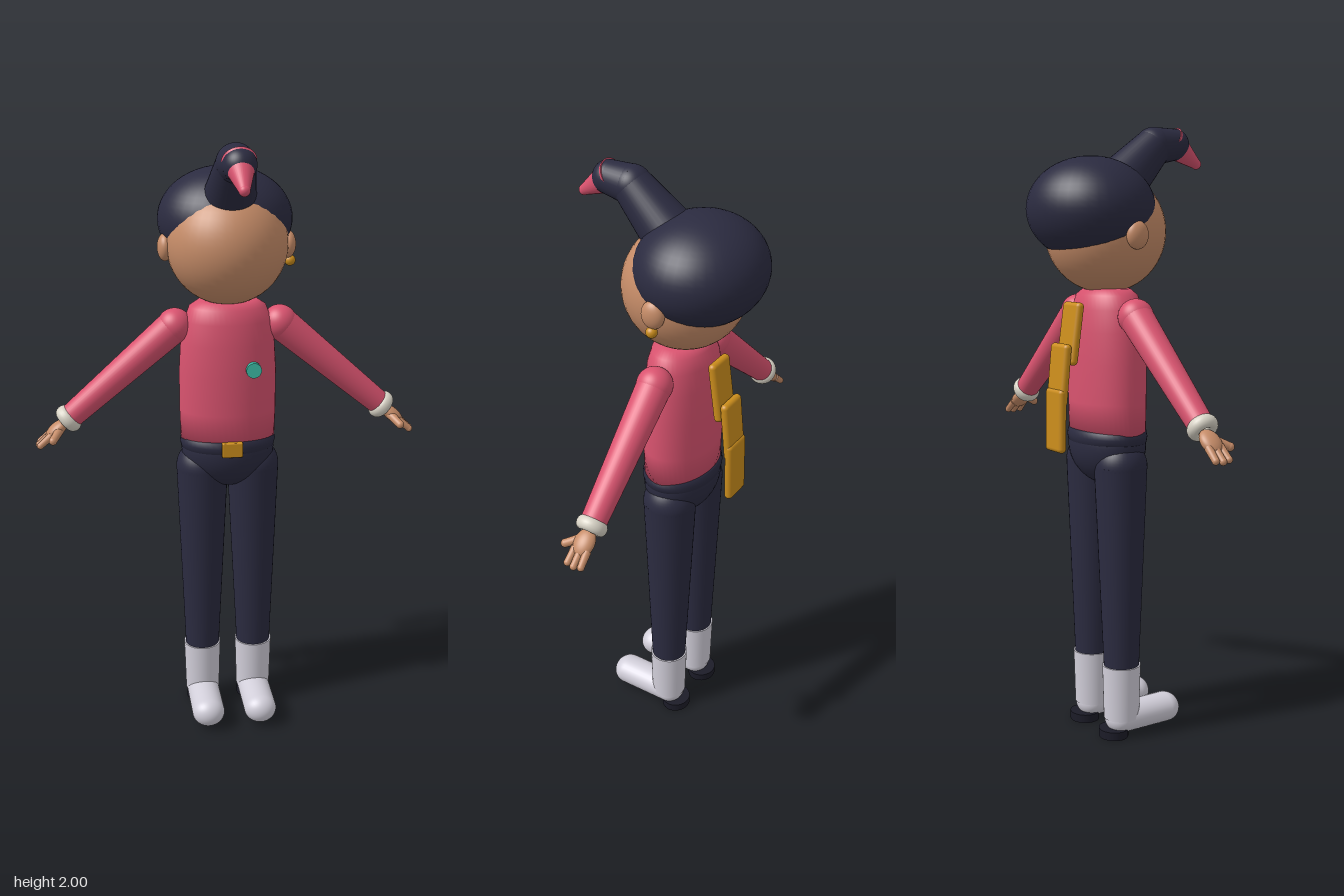
import * as THREE from 'three';
import { RoundedBoxGeometry } from 'three/addons/geometries/RoundedBoxGeometry.js';

const mat = (name, color) => {
  const m = new THREE.MeshStandardMaterial({ color });
  m.name = name;
  return m;
};
const V = (x, y, z) => new THREE.Vector3(x, y, z);

export function createModel() {
  const navy = mat('navy', 0x2b2b40);
  const black = mat('sole black', 0x1b1b27);
  const pink = mat('pink', 0xd9536f);
  const skin = mat('skin', 0xc68c68);
  const gold = mat('gold', 0xcb8d1c);
  const white = mat('boot white', 0xd2cfda);
  const cream = mat('cuff cream', 0xd8d3c6);
  const teal = mat('teal', 0x3fbfa8);

  const model = new THREE.Group();
  model.name = 'character';

  const add = (name, geometry, material, pos, parent = model) => {
    const mesh = new THREE.Mesh(geometry, material);
    mesh.name = name;
    if (pos) mesh.position.copy(pos);
    parent.add(mesh);
    return mesh;
  };
  // Ellipsoid with radii rx, ry, rz
  const ball = (name, material, pos, rx, ry = rx, rz = rx, parent = model) => {
    const mesh = add(name, new THREE.SphereGeometry(1, 40, 28), material, pos, parent);
    mesh.scale.set(rx, ry, rz);
    return mesh;
  };
  // Tapered cylinder from a to b
  const taper = (name, material, a, b, ra, rb, parent = model) => {
    const d = b.clone().sub(a);
    const mesh = add(name, new THREE.CylinderGeometry(rb, ra, d.length(), 36), material,
      a.clone().add(b).multiplyScalar(0.5), parent);
    mesh.quaternion.setFromUnitVectors(V(0, 1, 0), d.normalize());
    return mesh;
  };
  // Turned profile, flattened front to back
  const turned = (name, material, profile, pos, depth) => {
    const geo = new THREE.LatheGeometry(profile.map(([r, y]) => new THREE.Vector2(r, y)), 48);
    const mesh = add(name, geo, material, pos);
    mesh.scale.z = depth;
    return mesh;
  };

  // Head and hair
  ball('head', skin, V(0, 1.665, -0.06), 0.195);
  ball('hairCap', navy, V(0, 1.735, -0.115), 0.217, 0.166, 0.202);

  // Curled quiff with a coloured tip
  const quiff = [[1.8, -0.02, 0.088], [1.938, 0.127, 0.061], [1.945, 0.207, 0.0515]];
  quiff.forEach(([y, z, r], i) => {
    ball('quiffJoint', navy, V(0, y, z), r);
    if (i > 0) {
      const [py, pz, pr] = quiff[i - 1];
      taper('quiffSegment', navy, V(0, py, pz), V(0, y, z), pr, r);
    }
  });
  taper('quiffTip', pink, V(0, 1.954, 0.192), V(0, 1.885, 0.3), 0.053, 0.017);
  ball('quiffTipEnd', pink, V(0, 1.885, 0.3), 0.0172);

  // Torso, belt and badge
  turned('torso', pink, [[0, 1.01], [0.157, 1.01], [0.16, 1.12], [0.16, 1.25], [0.154, 1.35],
    [0.142, 1.42], [0.125, 1.465], [0.095, 1.485], [0, 1.49]], V(0, 0, -0.055), 0.7);
  turned('belt', navy, [[0, 0.982], [0.145, 0.982], [0.156, 0.99], [0.16, 1.008], [0.156, 1.026],
    [0.145, 1.034], [0, 1.034]], V(0, 0, -0.055), 0.74);
  add('buckle', new RoundedBoxGeometry(0.068, 0.05, 0.02, 2, 0.004), gold, V(0, 1.008, 0.062));
  const badge = add('badge', new THREE.CylinderGeometry(0.025, 0.025, 0.02, 24), teal, V(0.07, 1.275, 0.054));
  badge.rotation.x = Math.PI / 2;

  // Hanging back strap in three overlapping panels
  [[1.345, -0.193, 0.2, 0.14], [1.215, -0.236, 0.2, 0.1], [1.07, -0.249, 0.205, 0.02]].forEach(([y, z, h, tilt]) => {
    const panel = add('backStrapPanel', new RoundedBoxGeometry(0.1, h, 0.028, 4, 0.0138), gold, V(0, y, z));
    panel.rotation.x = tilt;
  });

  // Hips
  ball('hips', navy, V(0, 0.98, -0.055), 0.155, 0.135, 0.115);

  for (const s of [1, -1]) {
    const side = s > 0 ? 'left' : 'right';

    // Ear
    ball(side + 'Ear', skin, V(s * 0.198, 1.655, -0.07), 0.025, 0.044, 0.038);

    // Arm
    const arm = new THREE.Group();
    arm.name = side + 'Arm';
    model.add(arm);
    const shoulder = V(s * 0.172, 1.402, -0.058), wrist = V(s * 0.525, 1.1, -0.062);
    const dir = wrist.clone().sub(shoulder).normalize();
    ball('shoulder', pink, shoulder, 0.057, 0.057, 0.057, arm);
    taper('sleeve', pink, shoulder, wrist, 0.055, 0.04, arm);
    const cuff = add('cuff', new THREE.TorusGeometry(0.031, 0.018, 16, 36), cream, wrist, arm);
    cuff.quaternion.setFromUnitVectors(V(0, 0, 1), dir);
    cuff.scale.z = 1.25;

    // Hand
    const palm = ball('palm', skin, V(s * 0.566, 1.063, -0.062), 0.046, 0.022, 0.034, arm);
    palm.rotation.z = -s * 0.71;
    for (const f of [-1, 0, 1]) {
      const base = V(s * 0.582, 1.05, -0.062 + f * 0.021);
      const end = V(s * (0.625 - Math.abs(f) * 0.004), 1.014 + Math.abs(f) * 0.003, -0.062 + f * 0.024);
      taper('finger', skin, base, end, 0.013, 0.011, arm);
      ball('fingertip', skin, end, 0.0115, 0.0115, 0.0115, arm);
    }
    const thumbEnd = V(s * 0.579, 1.045, -0.001);
    taper('thumb', skin, V(s * 0.556, 1.066, -0.045), thumbEnd, 0.015, 0.013, arm);
    ball('thumbTip', skin, thumbEnd, 0.0135, 0.0135, 0.0135, arm);

    // Leg
    const leg = new THREE.Group();
    leg.name = side + 'Leg';
    model.add(leg);
    const hip = V(s * 0.086, 0.915, -0.058), ankle = V(s * 0.091, 0.2, -0.058);
    ball('thighTop', navy, hip, 0.087, 0.087, 0.087, leg);
    taper('trouserLeg', navy, hip, ankle, 0.087, 0.057, leg);

    // Boot
    taper('bootShaft', white, V(s * 0.091, 0.06, -0.058), V(s * 0.091, 0.243, -0.058), 0.059, 0.064, leg);
    const foot = add('bootFoot', new THREE.CapsuleGeometry(0.05, 0.18, 12, 32), white, V(s * 0.091, 0.057, 0.026), leg);
    foot.rotation.x = Math.PI / 2;
    foot.scale.x = 1.12;
    const heel = add('heel', new THREE.CylinderGeometry(0.048, 0.048, 0.028, 32), black, V(s * 0.091, 0.014, -0.09), leg);
    heel.scale.x = 1.1;
  }

  // Single earring on the left ear
  ball('earring', gold, V(0.205, 1.602, -0.07), 0.018);

  return model;
}
